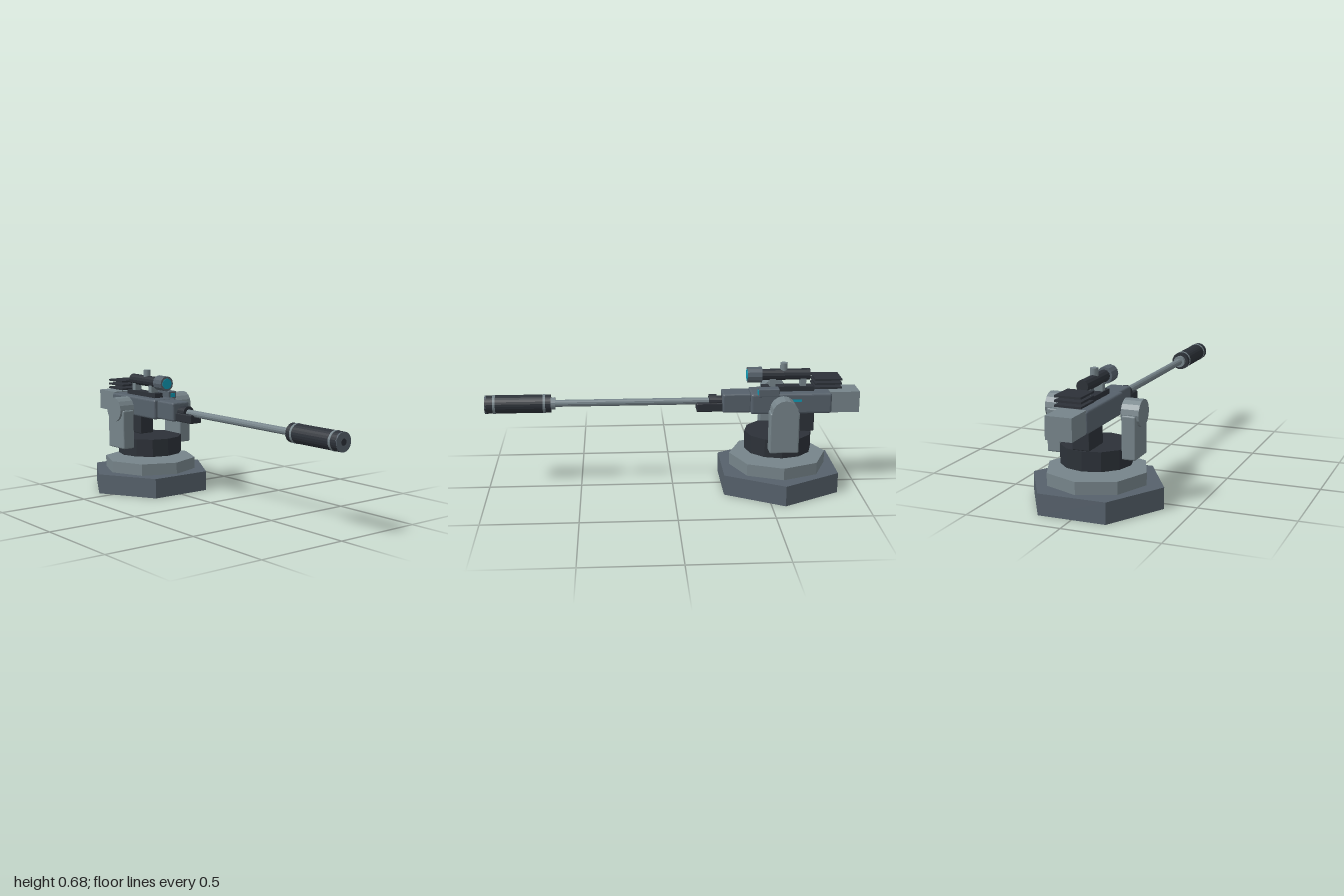
import * as THREE from 'three';
import { RoundedBoxGeometry } from 'three/addons/geometries/RoundedBoxGeometry.js';

const mat = (color) => new THREE.MeshStandardMaterial({ color, flatShading: true });

export function createModel() {
  const root = new THREE.Group();
  const mid = mat(0x56616b), light = mat(0x76848a), dark = mat(0x2c3138), cyan = mat(0x109ab5);
  const CZ = -0.573; // turret axis
  const BY = 0.474; // bore height

  const add = (name, geo, m, x, y, z) => {
    const mesh = new THREE.Mesh(geo, m);
    mesh.name = name;
    mesh.position.set(x, y, z);
    root.add(mesh);
    return mesh;
  };
  // Box from its limits, optionally with rounded edges
  const box = (name, m, [x0, x1], [y0, y1], [z0, z1], r = 0) => {
    const s = [x1 - x0, y1 - y0, z1 - z0];
    const geo = r ? new RoundedBoxGeometry(...s, 2, r) : new THREE.BoxGeometry(...s);
    return add(name, geo, m, (x0 + x1) / 2, (y0 + y1) / 2, (z0 + z1) / 2);
  };
  // Upright drum between two heights
  const drum = (name, m, r, y0, y1, z, sides, turn = 0) =>
    add(name, new THREE.CylinderGeometry(r, r, y1 - y0, sides).rotateY(turn), m, 0, (y0 + y1) / 2, z);
  // Cylinder lying along z
  const rod = (name, m, r, y, z0, z1, sides = 16) =>
    add(name, new THREE.CylinderGeometry(r, r, z1 - z0, sides).rotateX(Math.PI / 2), m, 0, y, (z0 + z1) / 2);

  // Base and turntable
  drum('basePlate', mid, 0.354, 0, 0.11, CZ, 6, Math.PI / 6);
  drum('baseRing', light, 0.263, 0.11, 0.175, CZ, 8);
  drum('turntable', dark, 0.182, 0.203, 0.302, CZ, 12);

  // Yoke arms with pivot caps
  for (const s of [-1, 1]) {
    const side = s > 0 ? 'left' : 'right';
    add(side + 'Arm', new RoundedBoxGeometry(0.073, 0.22, 0.155, 2, 0.008), light, s * 0.198, 0.36, CZ);
    add(side + 'PivotCap', new THREE.CylinderGeometry(0.069, 0.069, 0.092, 16).rotateZ(Math.PI / 2),
      light, s * 0.201, 0.472, CZ);
  }

  // Receiver
  box('receiver', mid, [-0.077, 0.077], [0.415, 0.528], [-0.85, -0.415], 0.012);
  box('frontBlock', mid, [-0.056, 0.056], [0.42, 0.525], [-0.42, -0.265], 0.01);
  box('rearBlock', light, [-0.068, 0.068], [0.418, 0.532], [-1, -0.84]);
  box('magazine', dark, [-0.045, 0.045], [0.308, 0.42], [-0.763, -0.6], 0.005);
  box('sideLight', cyan, [0.074, 0.08], [0.483, 0.497], [-0.685, -0.585]);

  // Sensor box with its screen
  box('sensorBox', mid, [0.05, 0.104], [0.52, 0.563], [-0.562, -0.452], 0.004);
  box('sensorScreen', cyan, [0.062, 0.094], [0.529, 0.552], [-0.454, -0.449]);

  // Barrel and muzzle
  box('foreGrip', dark, [-0.038, 0.038], [0.422, 0.47], [-0.405, -0.127], 0.006);
  rod('barrel', light, 0.019, BY, -0.27, 0.65, 12);
  rod('barrelCollar', dark, 0.036, BY, -0.235, -0.195);
  rod('barrelSocket', dark, 0.028, BY, -0.27, -0.235);
  rod('muzzleCollar', light, 0.033, BY, 0.627, 0.66);
  rod('muzzle', dark, 0.049, BY, 0.65, 0.997, 24);
  for (const z of [0.685, 0.95]) rod('muzzleRing', light, 0.051, BY, z - 0.007, z + 0.007, 24);
  rod('muzzleFace', mid, 0.049, BY, 0.99, 0.999, 24);
  rod('bore', dark, 0.017, BY, 0.98, 1, 16);

  // Scope on its rail
  const SY = 0.616;
  box('scopeRail', dark, [-0.028, 0.028], [0.526, 0.554], [-0.76, -0.48]);
  for (const z of [-0.535, -0.7]) box('scopeMount', light, [-0.022, 0.022], [0.55, 0.6], [z - 0.016, z + 0.016]);
  rod('scopeTube', dark, 0.031, SY, -0.737, -0.47, 12);
  rod('scopeBell', mid, 0.043, SY, -0.477, -0.4, 12);
  rod('scopeLens', cyan, 0.03, SY, -0.405, -0.397, 20);
  drum('scopeKnob', light, 0.02, 0.635, 0.68, -0.596, 12);

  // Cooling fins
  for (let i = 0; i < 3; i++) {
    const y = 0.555 + i * 0.0225;
    box('coolingFin', dark, [-0.068, 0.068], [y - 0.005, y + 0.005], [-0.9, -0.755]);
  }
  return root;
}
